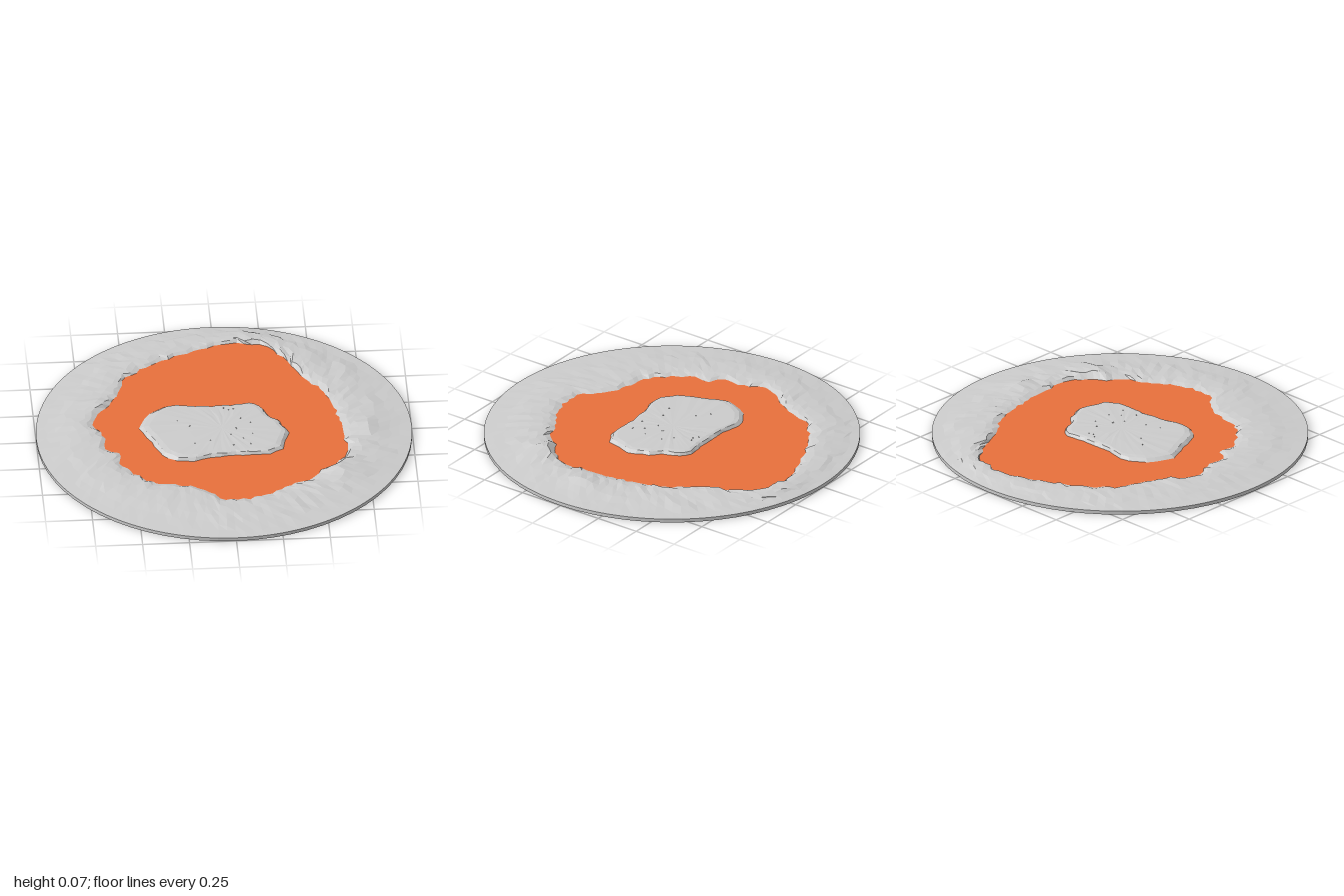
import * as THREE from 'three';

const LAVA_Y = 0.03, BASE_Y = 0.02, SECTORS = 128;

// Shorelines as x, z pairs, running from +x towards +z
const shore = [
  0.64, 0, 0.64, 0.12, 0.65, 0.25, 0.58, 0.33, 0.48, 0.42, 0.42, 0.5, 0.32, 0.53, 0.2, 0.62, 0.08, 0.65,
  -0.05, 0.65, -0.1, 0.58, -0.22, 0.51, -0.4, 0.47, -0.5, 0.38, -0.57, 0.28, -0.57, 0.18, -0.64, 0.14,
  -0.63, 0.02, -0.69, -0.08, -0.66, -0.2, -0.58, -0.3, -0.53, -0.4, -0.5, -0.53, -0.4, -0.61, -0.26, -0.69,
  -0.15, -0.75, -0.02, -0.8, 0.1, -0.82, 0.25, -0.81, 0.33, -0.72, 0.4, -0.6, 0.45, -0.47, 0.53, -0.38,
  0.59, -0.27, 0.61, -0.12,
];
const islandShore = [
  0.35, 0.04, 0.3, 0.2, 0.22, 0.24, 0.1, 0.235, -0.1, 0.25, -0.18, 0.28, -0.28, 0.27, -0.34, 0.22, -0.38, 0.13,
  -0.41, 0.05, -0.46, -0.04, -0.43, -0.12, -0.38, -0.2, -0.28, -0.26, -0.15, -0.235, 0, -0.23, 0.17, -0.25,
  0.22, -0.2, 0.24, -0.13, 0.3, -0.07,
];

// Rocky outcrops on the rim: x, z, height, spread
const outcrops = [
  [0.6, 0.4, 0.028, 0.09], [0.77, 0.02, 0.016, 0.07], [0.47, -0.6, 0.012, 0.07],
  [0.71, -0.6, 0.012, 0.07], [-0.66, -0.26, 0.01, 0.06], [0.2, -0.85, 0.011, 0.08],
];

function seeded(seed) {
  return () => {
    seed = (seed * 16807) % 2147483647;
    return seed / 2147483647;
  };
}

const toPoints = (list) => Array.from({ length: list.length / 2 }, (_, i) => new THREE.Vector2(list[2 * i], list[2 * i + 1]));

// Distance from the centre to an outline along an angle
function radiusAt(points, angle) {
  const dir = new THREE.Vector2(Math.cos(angle), Math.sin(angle));
  let best = 0;
  points.forEach((a, i) => {
    const edge = points[(i + 1) % points.length].clone().sub(a);
    const det = dir.cross(edge);
    if (Math.abs(det) < 1e-9) return;
    const r = a.cross(edge) / det, s = a.cross(dir) / det;
    if (r > 0 && s >= -1e-6 && s <= 1 + 1e-6) best = Math.max(best, r);
  });
  return best;
}

// Joins closed rings, ordered from the inside out, into an upward-facing surface
function loft(rings, closeCentre = false) {
  const n = rings[0].length, index = [];
  for (let k = 0; k < rings.length - 1; k++) {
    for (let i = 0; i < n; i++) {
      const a = k * n + i, b = k * n + (i + 1) % n;
      index.push(a, b, a + n, b, b + n, a + n);
    }
  }
  const points = rings.flat();
  if (closeCentre) {
    const centre = new THREE.Vector3();
    rings[0].forEach((p) => centre.addScaledVector(p, 1 / n));
    points.push(centre);
    for (let i = 0; i < n; i++) index.push(points.length - 1, (i + 1) % n, i);
  }
  const geometry = new THREE.BufferGeometry().setFromPoints(points);
  geometry.setIndex(index);
  geometry.computeVertexNormals();
  return geometry;
}

export function createModel() {
  const group = new THREE.Group();
  const random = seeded(77);
  const rock = new THREE.MeshStandardMaterial({ color: 0xcccccc, flatShading: true, side: THREE.DoubleSide });
  const lava = new THREE.MeshStandardMaterial({ color: 0xe8703c });
  const add = (name, geometry, material, parent = group) => {
    const mesh = new THREE.Mesh(geometry, material);
    mesh.name = name;
    parent.add(mesh);
    return mesh;
  };

  // Thin round base
  const base = new THREE.CylinderGeometry(1, 1, BASE_Y, 64).translate(0, BASE_Y / 2, 0);
  add('base', base, new THREE.MeshStandardMaterial({ color: 0xcccccc, flatShading: true }));

  // Ragged shoreline shared by the pool and the rim
  const shorePoints = toPoints(shore);
  const inner = Array.from({ length: SECTORS }, (_, i) => {
    const angle = (i / SECTORS) * Math.PI * 2;
    const r = radiusAt(shorePoints, angle) + (random() - 0.5) * 0.02;
    return new THREE.Vector3(Math.cos(angle) * r, LAVA_Y, Math.sin(angle) * r);
  });
  add('lavaPool', loft([inner], true), lava);

  // Rocky rim: fraction of the way out, height, roughness
  const profile = [
    [0.08, 0.041, 0.006], [0.2, 0.044, 0.006], [0.36, 0.043, 0.005], [0.52, 0.039, 0.004],
    [0.68, 0.031, 0.003], [0.84, 0.025, 0.001], [1, BASE_Y, 0],
  ];
  const rimRings = profile.map(([t, height, rough]) => inner.map((p, i) => {
    const angle = (i / SECTORS) * Math.PI * 2;
    const r0 = Math.hypot(p.x, p.z);
    const wobble = t < 1 ? (random() - 0.5) * 0.03 : 0;
    const r = THREE.MathUtils.lerp(r0, 1, t) + wobble;
    const x = Math.cos(angle) * r, z = Math.sin(angle) * r;
    const roughness = rough * (x > 0.3 ? 1.5 : 0.8);
    let y = height + (random() - 0.5) * roughness;
    if (t < 0.8) {
      for (const [ox, oz, h, spread] of outcrops) {
        const d2 = (x - ox) ** 2 + (z - oz) ** 2;
        y += h * Math.exp(-d2 / (spread * spread)) * (0.65 + 0.5 * random());
      }
    }
    return new THREE.Vector3(x, y, z);
  }));
  add('craterRim', loft([inner, ...rimRings]), rock);

  // Flat-topped island with bevelled, sloping sides
  const islandPoints = toPoints(islandShore);
  const islandLevels = [[0.45, 0.052], [0.87, 0.05], [0.94, 0.045], [1, LAVA_Y - 0.004]];
  const islandRings = islandLevels.map(([scale, height], level) => Array.from({ length: 56 }, (_, i) => {
    const angle = (i / 56) * Math.PI * 2;
    const r = radiusAt(islandPoints, angle) * scale + (level > 1 ? (random() - 0.5) * 0.012 : 0);
    return new THREE.Vector3(Math.cos(angle) * r, height + (random() - 0.5) * 0.002, Math.sin(angle) * r);
  }));
  add('island', loft(islandRings, true), rock);

  // Tiny pebbles scattered over the island
  const pebbles = new THREE.Group();
  pebbles.name = 'pebbles';
  group.add(pebbles);
  const pebble = new THREE.TetrahedronGeometry(0.005);
  for (let i = 0; i < 16; i++) {
    const mesh = add('pebble', pebble, rock, pebbles);
    mesh.position.set(-0.32 + random() * 0.5, 0.051, -0.19 + random() * 0.36);
    mesh.rotation.y = random() * Math.PI;
  }
  return group;
}
